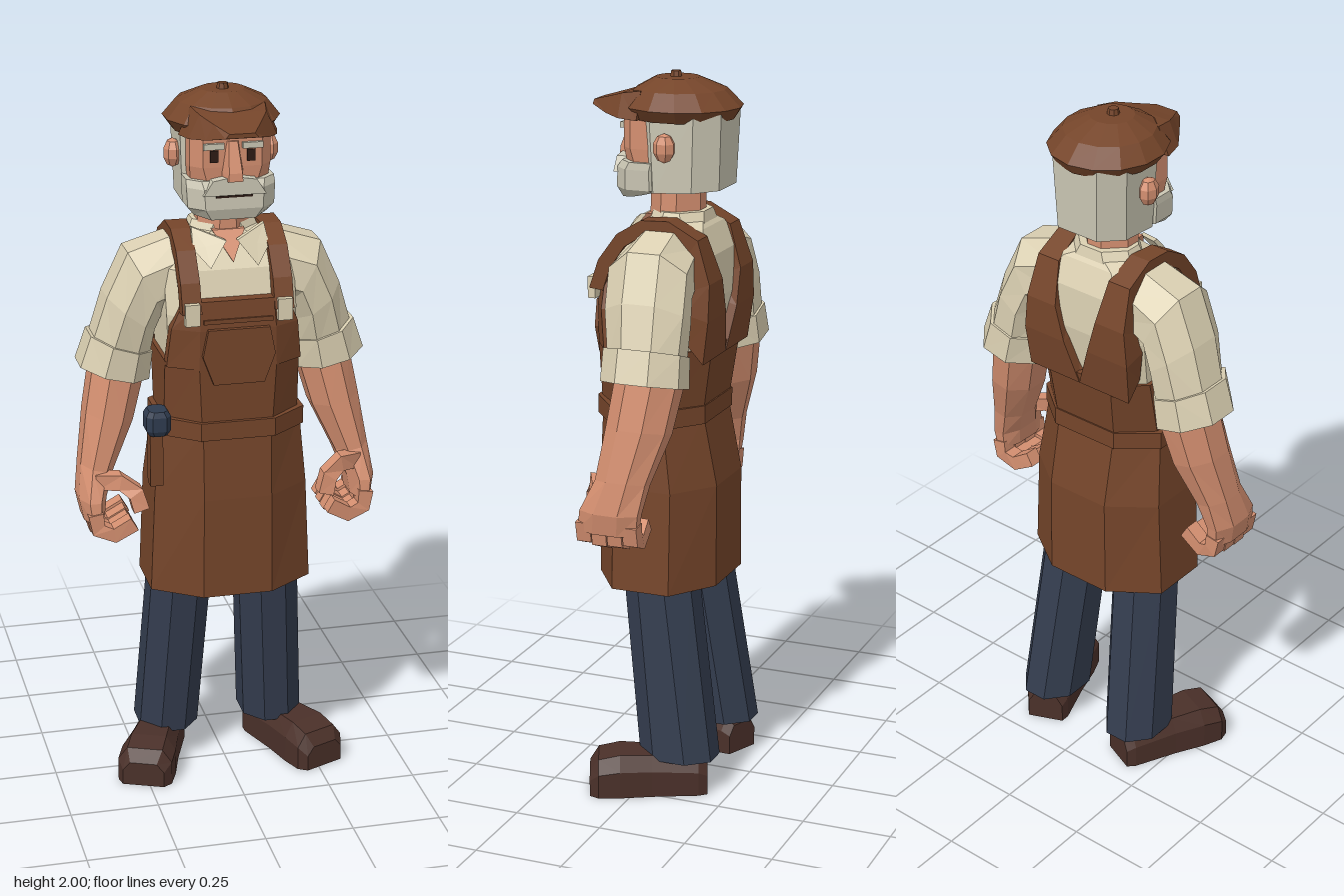
import * as THREE from 'three';

const mat = (name, color) => {
  const m = new THREE.MeshStandardMaterial({ color, flatShading: true });
  m.name = name;
  return m;
};

// Skin a list of rings (equal point counts) into a closed, outward-facing flat solid
function loft(rings) {
  const n = rings[0].length, tris = [];
  for (let r = 0; r < rings.length - 1; r++)
    for (let i = 0; i < n; i++) {
      const j = (i + 1) % n, a = rings[r], b = rings[r + 1];
      tris.push([a[i], a[j], b[j]], [a[i], b[j], b[i]]);
    }
  const cap = (ring, flip) => {
    const c = [0, 1, 2].map(k => ring.reduce((s, p) => s + p[k], 0) / n);
    ring.forEach((p, i) => {
      const q = ring[(i + 1) % n];
      tris.push(flip ? [c, q, p] : [c, p, q]);
    });
  };
  cap(rings[0], true);
  cap(rings[rings.length - 1], false);
  const o = new THREE.Vector3(...rings[0][0]);
  const vec = p => new THREE.Vector3(...p).sub(o);
  const volume = tris.reduce((s, [a, b, c]) => s + vec(a).dot(vec(b).cross(vec(c))), 0);
  if (volume < 0) tris.forEach(t => t.reverse());
  const g = new THREE.BufferGeometry();
  g.setAttribute('position', new THREE.Float32BufferAttribute(tris.flat(2), 3));
  g.computeVertexNormals();
  return g;
}

// Chamfered rectangle at height y: half width, front z, back z, chamfers
const oct = (y, hx, zf, zb, cx = 0.05, cz = 0.05, x = 0) => [
  [hx - cx, zf], [hx, zf - cz], [hx, zb + cz], [hx - cx, zb],
  [cx - hx, zb], [-hx, zb + cz], [-hx, zf - cz], [cx - hx, zf],
].map(([px, pz]) => [x + px, y, pz]);

// Ellipse at height y
const ellipse = (y, rx, rz, z, n = 14) => Array.from({ length: n }, (_, i) => {
  const a = (i / n) * Math.PI * 2;
  return [rx * Math.sin(a), y, z + rz * Math.cos(a)];
});

// Tilted limb section spanning an outer and an inner point in the xy plane
const section = (s, ox, oy, ix, iy, z, hz, n = 8) => Array.from({ length: n }, (_, i) => {
  const a = ((i + 0.5) / n) * Math.PI * 2, k = 1 / Math.cos(Math.PI / n);
  const u = 0.5 + 0.5 * Math.cos(a) * k;
  return [s * (ix + (ox - ix) * u), iy + (oy - iy) * u, z + hz * Math.sin(a) * k];
});

// Square-section digit following a path in the xy plane
const digit = (s, pts, r, rz) => loft(pts.map((p, i) => {
  const a = pts[Math.max(i - 1, 0)], b = pts[Math.min(i + 1, pts.length - 1)];
  const dx = b[0] - a[0], dy = b[1] - a[1], l = Math.hypot(dx, dy);
  const ux = (-dy / l) * r, uy = (dx / l) * r;
  return [[1, 1], [-1, 1], [-1, -1], [1, -1]].map(([u, w]) =>
    [s * (p[0] + ux * u), p[1] + uy * u, p[2] + rz * w]);
}));

const extrude = (pts, depth) => new THREE.ExtrudeGeometry(
  new THREE.Shape(pts.map(p => new THREE.Vector2(...p))), { depth, bevelEnabled: false });

export function createModel() {
  const root = new THREE.Group();
  root.name = 'craftsman';
  const leather = mat('leather brown', 0x75452a), shirt = mat('cream shirt', 0xdbd0b2);
  const hair = mat('grey hair', 0xcbc7b4), skin = mat('skin', 0xd48f70);
  const denim = mat('dark denim', 0x343d4f), shoe = mat('shoe brown', 0x4a3029);
  const dark = mat('dark eyes', 0x2e1b14), steel = mat('blue steel', 0x2f3b4f);
  const add = (name, geometry, material, x = 0, y = 0, z = 0) => {
    const m = new THREE.Mesh(geometry, material);
    m.name = name;
    m.position.set(x, y, z);
    root.add(m);
    return m;
  };
  const box = (w, h, d) => new THREE.BoxGeometry(w, h, d);

  // Shirt body
  add('shirtBody', loft([
    oct(1.1, 0.17, 0.14, -0.12), oct(1.4, 0.18, 0.14, -0.165),
    oct(1.52, 0.18, 0.105, -0.16), oct(1.59, 0.13, 0.05, -0.13), oct(1.615, 0.08, 0.03, -0.11),
  ]), shirt);

  // Apron skirt, waist, belt, bib and pocket
  add('apronSkirt', loft([
    oct(0.59, 0.228, 0.168, -0.18, 0.13, 0.09), oct(0.88, 0.215, 0.168, -0.18, 0.12, 0.09),
    oct(1.08, 0.195, 0.158, -0.14, 0.1, 0.08),
  ]), leather);
  add('skirtUnderside', loft([
    oct(0.585, 0.215, 0.155, -0.17, 0.13, 0.09), oct(0.592, 0.215, 0.155, -0.17, 0.13, 0.09),
  ]), denim);
  add('apronWaist', loft([
    oct(1.08, 0.188, 0.158, -0.14, 0.09, 0.08), oct(1.27, 0.187, 0.165, -0.168, 0.08, 0.07),
  ]), leather);
  add('belt', loft([
    oct(1.057, 0.203, 0.17, -0.148, 0.1, 0.08), oct(1.108, 0.203, 0.17, -0.148, 0.1, 0.08),
  ]), leather);
  add('apronBib', loft([
    oct(1.26, 0.187, 0.165, 0.03, 0.08, 0.05), oct(1.37, 0.175, 0.167, 0.05, 0.07, 0.04),
    oct(1.45, 0.14, 0.16, 0.08, 0.04, 0.03),
  ]), leather);
  add('bibPocket', extrude([[-0.07, 1.22], [0.07, 1.22], [0.1, 1.3], [0.085, 1.375],
    [-0.085, 1.375], [-0.1, 1.3]], 0.024), leather, 0, 0, 0.156);
  add('pocketFlap', box(0.19, 0.012, 0.02), leather, 0, 1.395, 0.16);

  // Neck, collar and open neckline
  add('neck', loft([oct(1.56, 0.075, 0.045, -0.1), oct(1.72, 0.07, 0.045, -0.1)]), skin);
  add('collarBand', loft([oct(1.585, 0.105, 0.04, -0.125), oct(1.63, 0.085, 0.03, -0.115)]), shirt);
  add('neckline', loft([
    [[-0.045, 1.615, 0.05], [0.045, 1.615, 0.05], [0, 1.54, 0.11]],
    [[-0.045, 1.615, 0.03], [0.045, 1.615, 0.03], [0, 1.54, 0.09]],
  ]), skin);

  // Head, hair and beard
  add('face', loft([oct(1.69, 0.1, 0.09, -0.14), oct(1.8, 0.11, 0.098, -0.15, 0.03, 0.03),
    oct(1.91, 0.11, 0.098, -0.15, 0.03, 0.03)]), skin);
  add('hair', loft([oct(1.695, 0.115, 0.06, -0.17, 0.05, 0.06),
    oct(1.9, 0.123, 0.068, -0.178, 0.05, 0.06)].map(r => r.map(([x, y, z]) =>
    [x, y < 1.8 ? y - 0.06 * (z + 0.17) : y, z]))), hair);
  add('beard', loft([
    oct(1.66, 0.1, 0.11, 0.0, 0.04, 0.04).map(([x, y, z]) => [x, y + (0.11 - z) * 0.2, z]),
    oct(1.69, 0.118, 0.12, -0.03, 0.04, 0.04), oct(1.745, 0.121, 0.118, -0.03, 0.04, 0.04),
    oct(1.765, 0.12, 0.102, -0.03, 0.035, 0.035),
  ]), hair);
  add('moustache', extrude([[-0.085, 1.73], [0.085, 1.73], [0.06, 1.77], [0, 1.78], [-0.06, 1.77]],
    0.03), hair, 0, 0, 0.098);
  add('mouth', box(0.1, 0.005, 0.006), dark, 0, 1.725, 0.119);
  add('nose', loft([
    [[-0.03, 1.768, 0.09], [0.03, 1.768, 0.09], [0.02, 1.768, 0.137], [-0.02, 1.768, 0.137]],
    [[-0.03, 1.79, 0.09], [0.03, 1.79, 0.09], [0.018, 1.79, 0.135], [-0.018, 1.79, 0.135]],
    [[-0.018, 1.87, 0.09], [0.018, 1.87, 0.09], [0.012, 1.87, 0.105], [-0.012, 1.87, 0.105]],
  ]), skin);

  // Flat cap with peak and button
  add('cap', loft([ellipse(1.878, 0.135, 0.145, -0.04), ellipse(1.91, 0.158, 0.165, -0.04),
    ellipse(1.955, 0.122, 0.125, -0.035), ellipse(1.985, 0.06, 0.06, -0.025)]), leather);
  add('capPeak', loft([[0.04, 0.135, 1.88, 1.955], [0.1, 0.12, 1.882, 1.945],
    [0.15, 0.085, 1.888, 1.93], [0.205, 0.045, 1.903, 1.915]].map(([z, w, lo, hi]) =>
    [[-w, lo, z], [w, lo, z], [w * 0.75, hi, z], [-w * 0.75, hi, z]])), leather);
  add('capButton', new THREE.CylinderGeometry(0.014, 0.018, 0.02, 8), leather, 0, 1.99, -0.02);

  for (const s of [1, -1]) {
    const side = s > 0 ? 'left' : 'right';
    const put = (name, ...rest) => add(side + name, ...rest);

    // Face details
    put('Eye', box(0.022, 0.032, 0.008), dark, s * 0.05, 1.83, 0.098);
    put('Brow', box(0.055, 0.016, 0.016), hair, s * 0.053, 1.858, 0.101);
    put('Ear', new THREE.SphereGeometry(1, 7, 5), skin, s * 0.133, 1.812, -0.04)
      .scale.set(0.026, 0.04, 0.032);
    put('CollarFlap', loft([0, 0.016].map(d => [[s * 0.015, 1.595, 0.075 + d],
      [s * 0.1, 1.625, 0.025 + d], [s * 0.105, 1.575, 0.065 + d], [s * 0.065, 1.53, 0.108 + d]])), shirt);

    // Strap: runs over the shoulder and widens into the back panel
    const strap = [[0.1, 0.153, 1.42, 0.172], [0.1, 0.153, 1.5, 0.145], [0.1, 0.153, 1.575, 0.09],
      [0.098, 0.153, 1.617, 0.02], [0.092, 0.153, 1.62, -0.06], [0.085, 0.155, 1.575, -0.145],
      [0.068, 0.165, 1.46, -0.183], [0.04, 0.175, 1.36, -0.183], [0, 0.17, 1.24, -0.167]];
    put('ApronStrap', loft(strap.map(([a, b, y, z]) => {
      const dy = 1.4 - y, dz = -0.02 - z, k = (z < -0.15 ? 0.07 : 0.04) / Math.hypot(dy, dz);
      const iy = y + dy * k, iz = z + dz * k;
      return [[s * a, y, z], [s * b, y, z], [s * b, iy, iz], [s * a, iy, iz]];
    })), leather);
    put('StrapBuckle', box(0.04, 0.06, 0.022), shirt, s * 0.127, 1.42, 0.168);

    // Sleeve and rolled cuff
    put('Sleeve', loft([section(s, 0.11, 1.605, 0.11, 1.4, -0.035, 0.095),
      section(s, 0.268, 1.555, 0.175, 1.38, -0.037, 0.112),
      section(s, 0.325, 1.43, 0.195, 1.33, -0.045, 0.112),
      section(s, 0.368, 1.29, 0.21, 1.24, -0.055, 0.1)]), shirt);
    put('Cuff', loft([section(s, 0.37, 1.32, 0.2, 1.265, -0.052, 0.11),
      section(s, 0.4, 1.232, 0.21, 1.185, -0.055, 0.112)]), shirt);

    // Forearm, palm, fingers and thumb
    put('Forearm', loft([section(s, 0.36, 1.25, 0.22, 1.2, -0.065, 0.088),
      section(s, 0.388, 1.1, 0.257, 1.07, -0.045, 0.085),
      section(s, 0.41, 0.96, 0.318, 0.94, -0.015, 0.072),
      section(s, 0.422, 0.87, 0.345, 0.87, 0.012, 0.084),
      section(s, 0.41, 0.81, 0.352, 0.82, 0.02, 0.085)]), skin);
    for (let f = 0; f < 4; f++) {
      const z = -0.05 + f * 0.045, d = Math.abs(f - 1.7) * 0.007;
      put('Finger' + (f + 1), digit(s, [[0.385, 0.84, z], [0.378, 0.785 + d, z],
        [0.335, 0.768 + d, z + 0.006], [0.28, 0.8 + d, z + 0.012]], 0.021, 0.021), skin);
    }
    put('Thumb', digit(s, [[0.375, 0.92, 0.045], [0.315, 0.928, 0.08],
      [0.275, 0.9, 0.1], [0.262, 0.852, 0.108]], 0.022, 0.022), skin);

    // Trouser leg and ankle
    put('TrouserLeg', loft([oct(0.1, 0.085, 0.01, -0.203, 0.05, 0.06, s * 0.155),
      oct(0.6, 0.086, 0.068, -0.13, 0.05, 0.06, s * 0.126),
      oct(0.75, 0.086, 0.075, -0.11, 0.05, 0.06, s * 0.115)]), denim);

    // Shoe, toes turned outward
    const foot = put('Shoe', loft([[-0.155, 0.052, 0.085], [-0.13, 0.062, 0.105], [0.0, 0.068, 0.115],
      [0.09, 0.078, 0.118], [0.15, 0.078, 0.105], [0.175, 0.06, 0.07]].map(([z, w, h]) =>
      [[-w, 0, z], [w, 0, z], [w, h * 0.65, z], [w * 0.65, h, z], [-w * 0.65, h, z], [-w, h * 0.65, z]])),
    shoe, s * 0.2, 0, -0.03);
    foot.rotation.y = s * 0.4;
  }

  // Hammer hung on the belt
  add('hammerHead', loft([oct(1.07, 0.025, 0.14, 0.075, 0.012, 0.012, -0.213),
    oct(1.085, 0.034, 0.147, 0.068, 0.015, 0.015, -0.213),
    oct(1.125, 0.034, 0.147, 0.068, 0.015, 0.015, -0.213),
    oct(1.14, 0.025, 0.14, 0.075, 0.012, 0.012, -0.213)]), steel);
  add('hammerHandle', box(0.036, 0.16, 0.04), leather, -0.218, 1.0, 0.105);
  return root;
}
